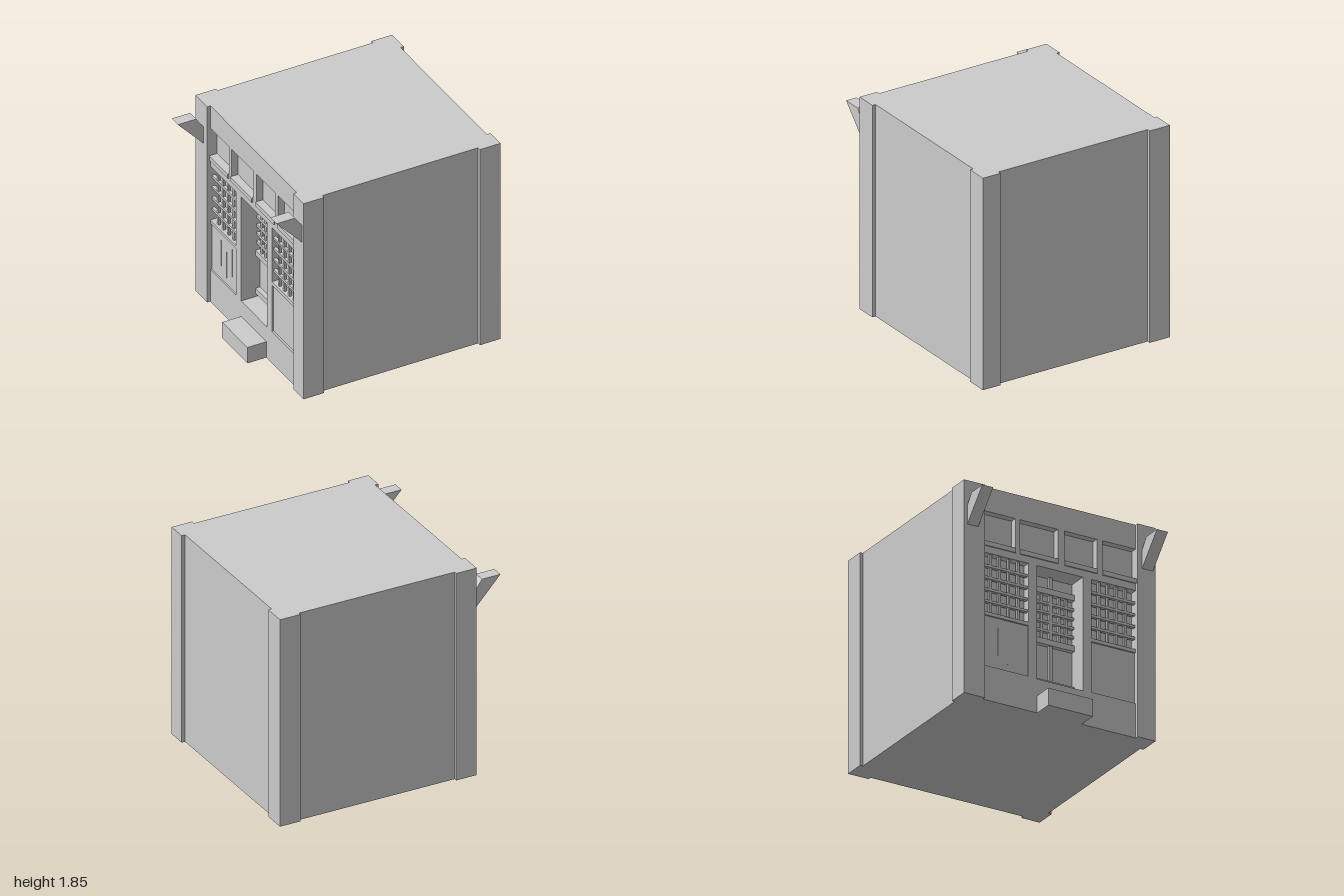
import * as THREE from 'three';

const material = new THREE.MeshStandardMaterial({ color: 0xcccccc });
const H = 1.85;

export function createModel() {
  const root = new THREE.Group();

  const add = (name, geometry) => {
    const mesh = new THREE.Mesh(geometry, material);
    mesh.name = name;
    root.add(mesh);
    return mesh;
  };
  // Box given by its limits on each axis
  const box = (name, x0, x1, y0, y1, z0, z1) => {
    const g = new THREE.BoxGeometry(x1 - x0, y1 - y0, z1 - z0);
    g.translate((x0 + x1) / 2, (y0 + y1) / 2, (z0 + z1) / 2);
    return add(name, g);
  };
  const rectangle = (target, u0, u1, v0, v1) => {
    target.moveTo(u0, v0).lineTo(u1, v0).lineTo(u1, v1).lineTo(u0, v1).closePath();
    return target;
  };

  // Main block and corner posts
  box('mainBlock', -0.57, 0.97, 0, H, -0.855, 0.85);
  for (const [x0, x1] of [[-0.77, -0.585], [0.815, 1]])
    for (const [z0, z1] of [[-0.88, -0.69], [0.715, 0.88]])
      box('cornerPost', x0, x1, 0, H, z0, z1);

  // Shop-front wall on the -x side, with openings cut through
  const upperWindows = [[-0.69, -0.39], [-0.35, 0], [0.06, 0.36], [0.41, 0.715]];
  const sideBays = [[-0.69, -0.27], [0.31, 0.715]];
  const door = [-0.19, 0.23];
  const wall = rectangle(new THREE.Shape(), -0.855, 0.85, 0, H);
  const cut = ([z0, z1], y0, y1) => wall.holes.push(rectangle(new THREE.Path(), z0, z1, y0, y1));
  upperWindows.forEach((w) => cut(w, 1.36, 1.64));
  sideBays.forEach((b) => cut(b, 0.3, 1.28));
  cut(door, 0.295, 1.28);
  const wallGeometry = new THREE.ExtrudeGeometry(wall, { depth: 0.17, bevelEnabled: false });
  wallGeometry.rotateY(-Math.PI / 2).translate(-0.57, 0, 0);
  add('facadeWall', wallGeometry);

  // Upper window panes with sills
  for (const [z0, z1] of upperWindows) {
    box('upperPane', -0.68, -0.57, 1.36, 1.64, z0, z1);
    box('upperSill', -0.75, -0.67, 1.34, 1.38, z0, z1);
  }

  // Grid of crossing bars standing at depth x
  const lattice = (name, x, r, [z0, z1], y0, y1, columns, rows) => {
    for (let i = 1; i <= columns; i++) {
      const z = z0 + ((z1 - z0) * i) / (columns + 1);
      box(name + 'Upright', x - r, x + r, y0, y1, z - r, z + r);
    }
    for (let j = 1; j <= rows; j++) {
      const y = y0 + ((y1 - y0) * j) / (rows + 1);
      box(name + 'Crossbar', x - r * 1.5, x + r, y - r, y + r, z0, z1);
    }
  };

  // Side bays: lattice window above a slightly recessed panel
  for (const bay of sideBays) {
    box('bayPane', -0.675, -0.57, 0.7, 1.28, ...bay);
    box('bayPanel', -0.725, -0.57, 0.3, 0.75, ...bay);
    box('baySill', -0.74, -0.67, 0.74, 0.77, ...bay);
    lattice('windowLattice', -0.71, 0.011, bay, 0.77, 1.28, 4, 4);
  }
  // Narrow plank joints on one bay panel
  [[-0.54, 0.42, 0.66], [-0.45, 0.36, 0.6], [-0.36, 0.42, 0.68]].forEach(([z, y0, y1]) =>
    box('plankJoint', -0.728, -0.72, y0, y1, z - 0.004, z + 0.004));

  // Recessed double door with rails and lattice
  for (const y of [0.35, 0.71, 1.15])
    box('doorRail', -0.61, -0.57, y - 0.025, y + 0.025, ...door);
  box('doorMeetingStile', -0.6, -0.57, 0.295, 1.28, 0.005, 0.035);
  for (const leaf of [[door[0], 0.005], [0.035, door[1]]])
    lattice('doorLattice', -0.585, 0.011, leaf, 0.73, 1.13, 2, 4);

  // Front step
  box('doorStep', -0.91, -0.73, 0, 0.15, -0.19, 0.22);

  // Slanted brackets near the top of the facade posts
  const bracket = new THREE.Shape([
    new THREE.Vector2(-1, 1.72), new THREE.Vector2(-0.77, 1.47),
    new THREE.Vector2(-0.77, 1.63), new THREE.Vector2(-0.835, 1.72),
  ]);
  for (const z of [-0.85, 0.755]) {
    const g = new THREE.ExtrudeGeometry(bracket, { depth: 0.1, bevelEnabled: false });
    add('bracket', g.translate(0, 0, z));
  }
  return root;
}
